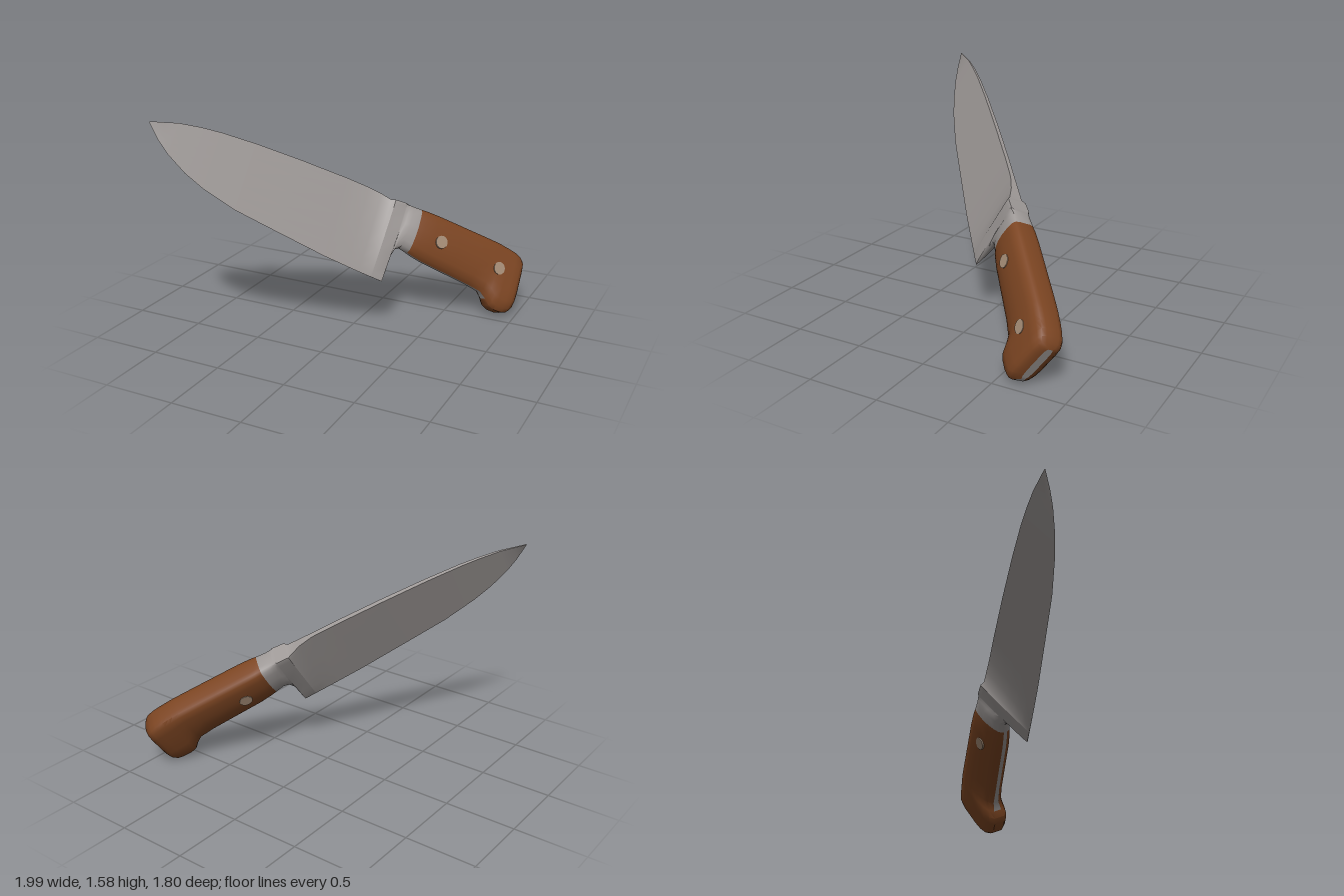
import * as THREE from 'three';
import { toCreasedNormals } from 'three/addons/utils/BufferGeometryUtils.js';

// Cross-section: height fractions, with half-width factors for wedge, grip and butt sections
const F = [0, 0.06, 0.18, 0.35, 0.55, 0.78, 0.92, 0.98, 1];
const GRIP = [0.15, 0.52, 0.72, 0.9, 1, 1, 0.93, 0.75, 0.45];
const BUTT = [0.42, 0.74, 0.93, 1, 1, 1, 0.93, 0.75, 0.45];
const N = F.length, R = 2 * N;
const MID = 0.366; // thickness centre plane

// Half-width factor: shape 0 is a wedge, 1 the grip, 2 the butt
function factor(j, shape) {
  return shape < 1
    ? THREE.MathUtils.lerp(F[j], GRIP[j], shape)
    : THREE.MathUtils.lerp(GRIP[j], BUTT[j], shape - 1);
}

// Ring of points at one station [length, bottom, top, halfWidth, shape]
function ring([l, h0, h1, w, shape]) {
  const side = (s) => F.map((f, j) => [l, h0 + (h1 - h0) * f, MID + s * w * factor(j, shape)]);
  return [...side(1), ...side(-1).reverse()];
}

// Lofted skin; pick(station, column) chooses which quads belong to this mesh
function loft(stations, pick, cap) {
  const index = [];
  const quad = (a, b, c, d) => index.push(a, b, c, a, c, d);
  for (let i = 0; i < stations.length - 1; i++) {
    for (let j = 0; j < R; j++) {
      const k = (j + 1) % R;
      if (pick(i, j)) quad(i * R + j, (i + 1) * R + j, (i + 1) * R + k, i * R + k);
    }
  }
  if (cap) {
    const o = (stations.length - 1) * R;
    for (let j = 0; j < N - 1; j++) quad(o + j, o + R - 1 - j, o + R - 2 - j, o + j + 1);
  }
  const g = new THREE.BufferGeometry();
  g.setAttribute('position', new THREE.Float32BufferAttribute(stations.flatMap(ring).flat(), 3));
  g.setIndex(index);
  return toCreasedNormals(g, 0.7);
}

export function createModel() {
  const steel = new THREE.MeshStandardMaterial({ name: 'steel', color: 0x9d9896 });
  const wood = new THREE.MeshStandardMaterial({ name: 'brown wood', color: 0x7c4522 });
  const rivetMetal = new THREE.MeshStandardMaterial({ name: 'rivet metal', color: 0xa48c76 });

  const knife = new THREE.Group();
  knife.name = 'knife';
  const add = (name, geometry, material) => {
    const m = new THREE.Mesh(geometry, material);
    m.name = name;
    knife.add(m);
    return m;
  };

  // Blade: thin wedge from the tip, swelling in a ramp towards the bolster
  const blade = [
    [-1.916, 0.735, 0.741, 0.002, 0],
    [-1.827, 0.648, 0.77, 0.004, 0],
    [-1.74, 0.583, 0.8, 0.006, 0],
    [-1.6, 0.508, 0.828, 0.009, 0],
    [-1.46, 0.456, 0.847, 0.011, 0],
    [-1.215, 0.397, 0.865, 0.013, 0],
    [-0.89, 0.358, 0.877, 0.015, 0],
    [-0.527, 0.316, 0.882, 0.016, 0],
    [-0.35, 0.303, 0.879, 0.017, 0],
    [-0.25, 0.296, 0.867, 0.03, 0.03],
    [-0.175, 0.292, 0.847, 0.05, 0.08],
    [-0.15, 0.291, 0.853, 0.073, 0.12],
  ];
  // Bolster: drops from the heel into the curved choil, then meets the handle
  const seam = [0.065, 0.541, 0.862, 0.09, 1];
  const bolster = [
    blade[blade.length - 1],
    [-0.062, 0.287, 0.858, 0.078, 0.15],
    [-0.055, 0.46, 0.859, 0.079, 0.4],
    [-0.035, 0.53, 0.86, 0.081, 0.75],
    [0, 0.555, 0.861, 0.084, 1],
    seam,
  ];
  add('blade', loft(blade, () => true), steel);
  add('bolster', loft(bolster, () => true), steel);

  // Handle: rounded grip ending in a boxier, downturned butt
  const handle = [
    seam,
    [0.11, 0.53, 0.864, 0.096, 1],
    [0.2, 0.515, 0.864, 0.1, 1],
    [0.4, 0.498, 0.858, 0.1, 1],
    [0.6, 0.48, 0.852, 0.1, 1],
    [0.71, 0.464, 0.848, 0.1, 1.2],
    [0.76, 0.425, 0.845, 0.1, 1.6],
    [0.795, 0.385, 0.841, 0.1, 2],
    [0.84, 0.368, 0.836, 0.1, 2],
    [0.9, 0.366, 0.825, 0.1, 2],
    [0.945, 0.376, 0.808, 0.099, 2],
    [0.975, 0.402, 0.785, 0.09, 2],
    [0.993, 0.435, 0.765, 0.065, 2],
    [1, 0.455, 0.755, 0.028, 2],
  ];
  // The exposed tang runs along the underside and shows again at the butt
  const isTang = (i, j) => j === R - 1 && (i < 6 || i > 9);
  add('handle', loft(handle, (i, j) => !isTang(i, j)), wood);
  add('tang', loft(handle, isTang, true), steel);

  // Rivets: the front one goes right through, the rear one shows on one side
  const rivet = (name, l, h, t0, t1) => {
    const g = new THREE.CylinderGeometry(0.046, 0.046, t1 - t0, 20).rotateX(Math.PI / 2);
    add(name, g, rivetMetal).position.set(l, h, (t0 + t1) / 2);
  };
  rivet('frontRivet', 0.265, 0.68, MID - 0.104, MID + 0.104);
  rivet('rearRivet', 0.775, 0.657, MID, MID + 0.104);

  // Tilt the knife: length, height and thickness axes
  const L = new THREE.Vector3(0.663, -0.443, -0.603).normalize();
  const T = new THREE.Vector3(0.748, 0.395, 0.533).normalize();
  const H = new THREE.Vector3().crossVectors(T, L).normalize();
  knife.quaternion.setFromRotationMatrix(new THREE.Matrix4().makeBasis(L, H, T));

  // Centre it and stand it on the ground
  const model = new THREE.Group();
  model.name = 'kitchenKnife';
  model.add(knife);
  model.updateMatrixWorld(true);
  const box = new THREE.Box3().setFromObject(model, true);
  const c = box.getCenter(new THREE.Vector3());
  knife.position.set(-c.x, -box.min.y, -c.z);
  return model;
}
